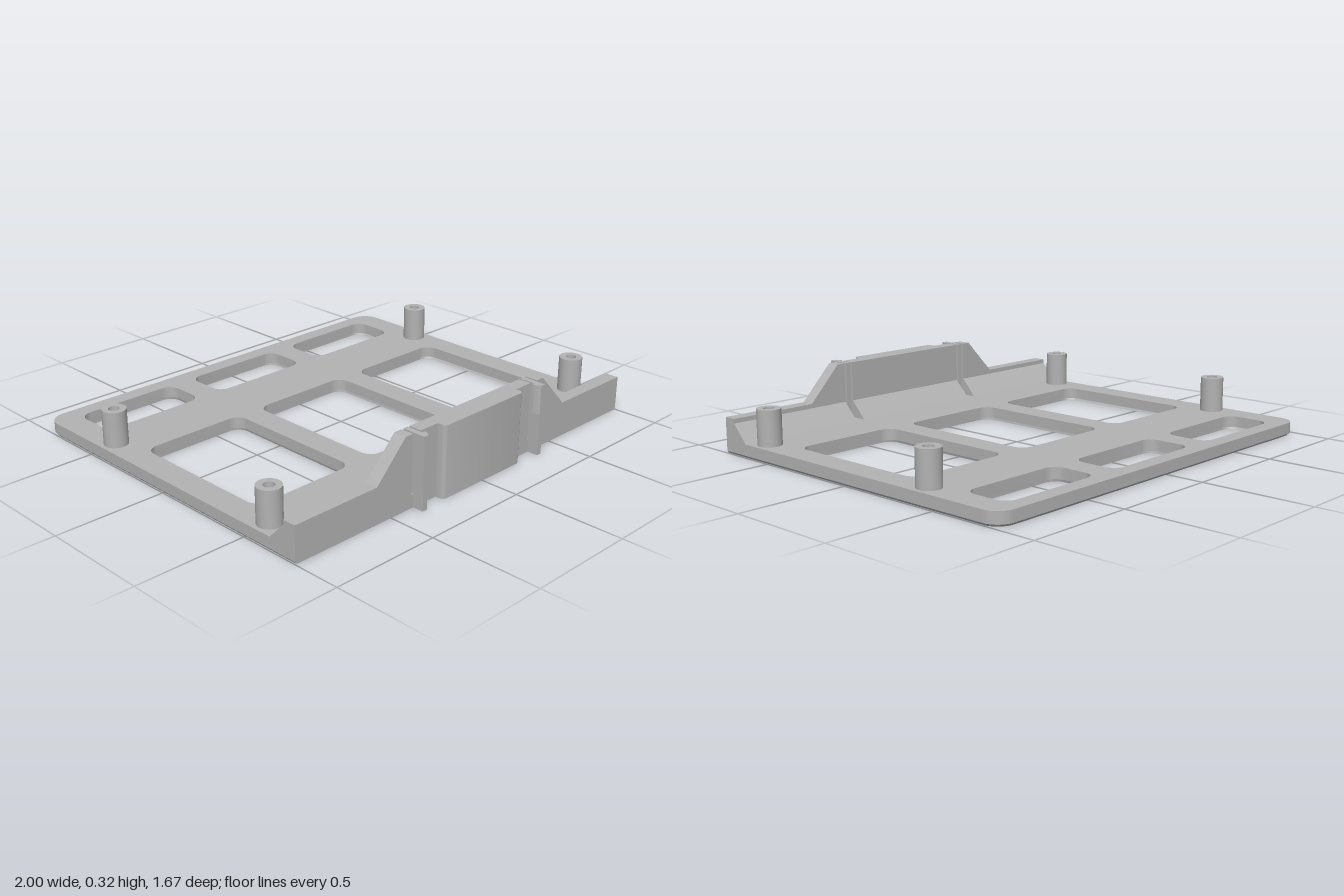
import * as THREE from 'three';
import { toCreasedNormals } from 'three/addons/utils/BufferGeometryUtils.js';

const PLATE = 0.06, BACK = -0.835, FACE = 0.785, WALL = 0.725;

// Rectangle with separate radii for its low-y and high-y corners
function roundRect(target, x0, y0, x1, y1, rLow, rHigh = rLow) {
  target.moveTo(x0 + rLow, y0);
  target.lineTo(x1 - rLow, y0);
  if (rLow) target.absarc(x1 - rLow, y0 + rLow, rLow, -Math.PI / 2, 0);
  target.lineTo(x1, y1 - rHigh);
  if (rHigh) target.absarc(x1 - rHigh, y1 - rHigh, rHigh, 0, Math.PI / 2);
  target.lineTo(x0 + rHigh, y1);
  if (rHigh) target.absarc(x0 + rHigh, y1 - rHigh, rHigh, Math.PI / 2, Math.PI);
  target.lineTo(x0, y0 + rLow);
  if (rLow) target.absarc(x0 + rLow, y0 + rLow, rLow, Math.PI, Math.PI * 1.5);
  return target;
}

const polygon = (pts) => new THREE.Shape(pts.map(([x, y]) => new THREE.Vector2(x, y)));
const circle = (x, y, r) => new THREE.Path().absarc(x, y, r, 0, Math.PI * 2, true);
const extrude = (shape, depth) =>
  new THREE.ExtrudeGeometry(shape, { depth, bevelEnabled: false, curveSegments: 10 });

// Plan shape (x, z) raised from y0 to y1
function raise(shape, y0, y1) {
  return extrude(shape, y1 - y0).rotateX(Math.PI / 2).translate(0, y1, 0);
}

export function createModel() {
  const model = new THREE.Group();
  model.name = 'mountingTray';
  const grey = new THREE.MeshStandardMaterial({ color: 0xb2b2b2 });
  grey.name = 'grey';

  function add(name, geometry) {
    const mesh = new THREE.Mesh(toCreasedNormals(geometry, 0.6), grey);
    mesh.name = name;
    model.add(mesh);
  }

  // Base plate with six windows and four screw holes
  const posts = [];
  for (const x of [-0.93, 0.93]) for (const z of [-0.41, 0.57]) posts.push([x, z]);
  const plan = roundRect(new THREE.Shape(), -1, BACK, 1, FACE, 0.08, 0);
  for (const [x0, x1] of [[-0.88, -0.373], [-0.255, 0.255], [0.373, 0.88]]) {
    for (const [z0, z1] of [[-0.76, -0.545], [-0.27, 0.435]]) {
      plan.holes.push(roundRect(new THREE.Path(), x0, z0, x1, z1, 0.055));
    }
  }
  for (const [x, z] of posts) plan.holes.push(circle(x, z, 0.024));
  add('basePlate', raise(plan, 0.01, PLATE));

  // Thin lower layer, drawn in along the sides and back for the chamfer
  const lower = raise(plan, 0, 0.01);
  const p = lower.attributes.position;
  for (let i = 0; i < p.count; i++) {
    if (p.getY(i) > 0.005) continue;
    p.setX(i, p.getX(i) * 0.992);
    if (p.getZ(i) < -0.77) p.setZ(i, p.getZ(i) + 0.008);
  }
  lower.computeVertexNormals();
  add('plateChamfer', lower);

  // Hollow standoffs
  for (const [x, z] of posts) {
    const ring = new THREE.Shape().absarc(x, z, 0.053, 0, Math.PI * 2);
    ring.holes.push(circle(x, z, 0.024));
    add('standoff', raise(ring, PLATE, 0.22));
  }

  // Front wall: raised centre and two stepped side sections
  const wall = (name, pts) => add(name, extrude(polygon(pts), FACE - WALL).translate(0, 0, WALL));
  wall('centreWall', [[-0.34, PLATE], [0.34, PLATE], [0.34, 0.32], [-0.34, 0.32]]);
  const side = [[0.385, PLATE], [1, PLATE], [1, 0.16], [0.58, 0.16], [0.425, 0.32], [0.385, 0.32]];
  wall('leftWall', side);
  wall('rightWall', side.map(([x, y]) => [-x, y]));

  // Sloped fillet behind each wall section
  const wedge = polygon([[0.648, PLATE], [WALL, PLATE], [WALL, 0.14]]);
  for (const [x0, x1] of [[-1, -0.385], [-0.34, 0.34], [0.385, 1]]) {
    add('wallFillet', extrude(wedge, x1 - x0).rotateY(-Math.PI / 2).translate(x1, 0, 0));
  }

  // Proud panel on the centre of the wall
  const panel = roundRect(new THREE.Shape(), -0.243, FACE, 0.243, 0.825, 0, 0.02);
  add('frontPanel', raise(panel, 0, 0.32));

  // Spring clips in the slots, with hooks turned to the centre
  for (const s of [-1, 1]) {
    const arm = polygon([[0.35, WALL], [0.374, WALL], [0.374, 0.835], [0.35, 0.835]]
      .map(([x, z]) => [s * x, z]));
    add('clipArm', raise(arm, 0, 0.32));
    const hook = polygon([[0.35, 0.8], [0.336, 0.8], [0.336, 0.812], [0.35, 0.835]]
      .map(([x, z]) => [s * x, z]));
    add('clipHook', raise(hook, 0.19, 0.32));
  }
  return model;
}
